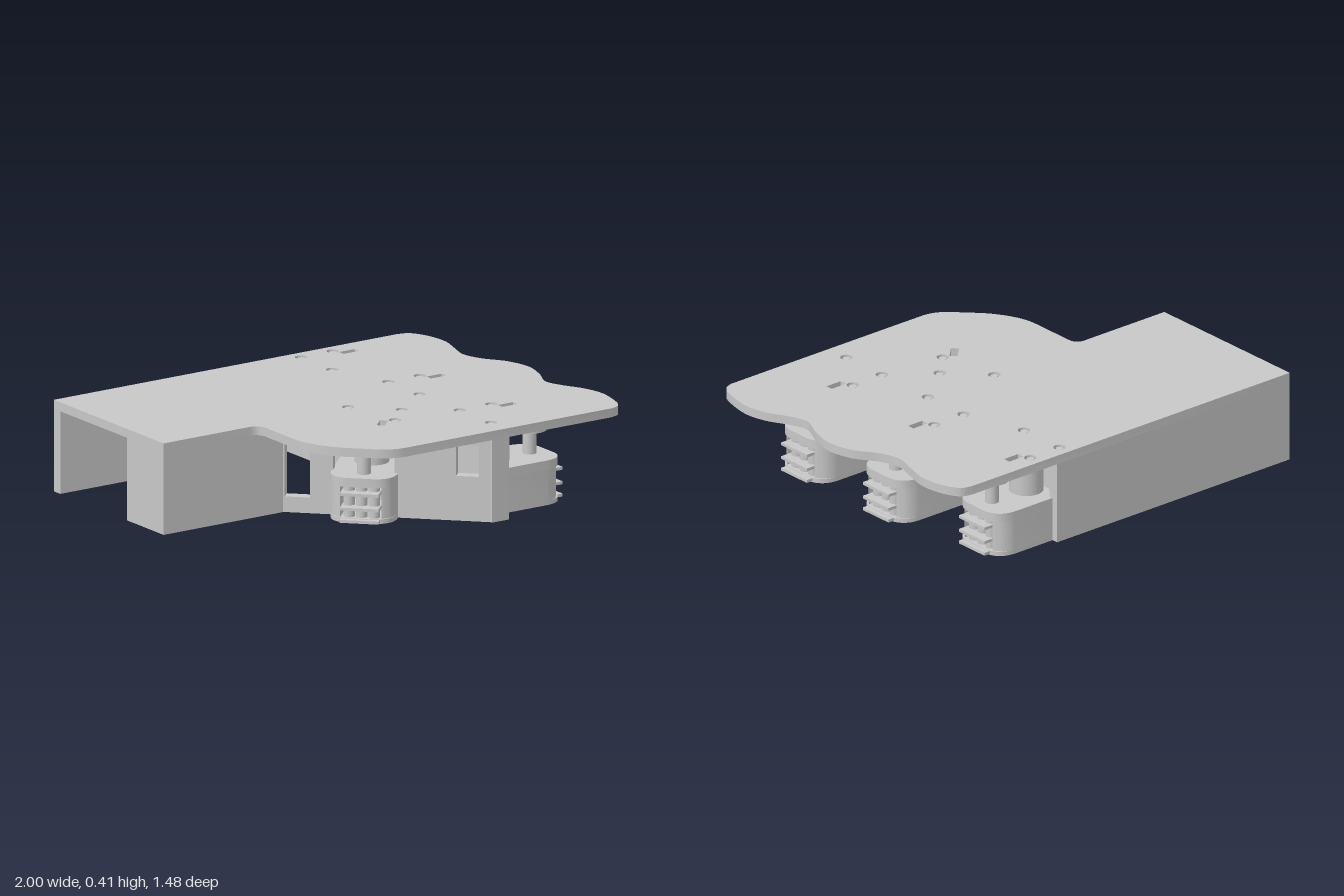
import * as THREE from 'three';
import { toCreasedNormals } from 'three/addons/utils/BufferGeometryUtils.js';

const grey = new THREE.MeshStandardMaterial({ color: 0xc8c8c8 });
grey.name = 'plain grey';

// each drive unit: position of its first screw and its heading about y
const UNITS = [
  { x: 0.255, z: -0.68, turn: 0 },
  { x: 0.345, z: -0.15, turn: 0 },
  { x: 0.345, z: 0.39, turn: 0 },
  { x: 0.145, z: 0.24, turn: -Math.PI * 0.75 },
];
const SCREWS = [[0, 0], [0.165, 0], [0, 0.235]];

const vectors = list => list.map(p => new THREE.Vector2(...p));

function add(parent, name, geometry, x = 0, y = 0, z = 0) {
  const mesh = new THREE.Mesh(geometry, grey);
  mesh.name = name;
  mesh.position.set(x, y, z);
  parent.add(mesh);
  return mesh;
}

// horizontal plate from a shape drawn in x and z
function slab(parent, name, shape, y0, y1) {
  const g = new THREE.ExtrudeGeometry(shape, { depth: y1 - y0, bevelEnabled: false, curveSegments: 10 });
  g.rotateX(Math.PI / 2);
  add(parent, name, toCreasedNormals(g, 0.5), 0, y1, 0);
}

function box(parent, name, x0, x1, y0, y1, z0, z1) {
  add(parent, name, new THREE.BoxGeometry(x1 - x0, y1 - y0, z1 - z0),
    (x0 + x1) / 2, (y0 + y1) / 2, (z0 + z1) / 2);
}

function cylinder(parent, name, r, y0, y1, x, z) {
  add(parent, name, new THREE.CylinderGeometry(r, r, y1 - y0, 28), x, (y0 + y1) / 2, z);
}

// upright wall between two floor points, with an optional window [start, end, bottom, top]
function wall(parent, name, [ax, az], [bx, bz], t, window) {
  const length = Math.hypot(bx - ax, bz - az);
  const shape = new THREE.Shape(vectors([[0, 0], [length, 0], [length, 0.375], [0, 0.375]]));
  if (window) {
    const [s, e, b, h] = window;
    shape.holes.push(new THREE.Path(vectors([[s, b], [s, h], [e, h], [e, b]])));
  }
  const g = new THREE.ExtrudeGeometry(shape, { depth: t, bevelEnabled: false });
  g.translate(0, 0, -t / 2);
  add(parent, name, g, ax, 0, az).rotation.y = -Math.atan2(bz - az, bx - ax);
}

// unit floor outline with a rounded outer end
function unitOutline() {
  const s = new THREE.Shape();
  s.moveTo(-0.03, -0.03);
  s.lineTo(0.28, -0.03);
  s.quadraticCurveTo(0.365, -0.025, 0.375, 0.055);
  s.lineTo(0.375, 0.175);
  s.quadraticCurveTo(0.365, 0.255, 0.28, 0.26);
  s.lineTo(-0.03, 0.26);
  s.closePath();
  return s;
}

// notch layer: two cheeks joined by a rear block
function notchOutline() {
  const s = new THREE.Shape();
  s.moveTo(-0.03, -0.03);
  s.lineTo(0.28, -0.03);
  s.quadraticCurveTo(0.335, -0.025, 0.36, 0.025);
  s.lineTo(0.24, 0.025);
  s.lineTo(0.24, 0.205);
  s.lineTo(0.36, 0.205);
  s.quadraticCurveTo(0.335, 0.255, 0.28, 0.26);
  s.lineTo(-0.03, 0.26);
  s.closePath();
  return s;
}

function driveUnit({ x, z, turn }) {
  const unit = new THREE.Group();
  unit.name = 'driveUnit';
  unit.position.set(x, 0, z);
  unit.rotation.y = turn;
  // housing
  slab(unit, 'housingFloor', unitOutline(), 0, 0.02);
  slab(unit, 'housingCheeks', notchOutline(), 0.02, 0.16);
  slab(unit, 'housingLid', unitOutline(), 0.16, 0.2);
  slab(unit, 'topPad', unitOutline(), 0.36, 0.372);
  box(unit, 'mountingBlock', -0.075, 0.015, 0, 0.375, -0.03, 0.26);
  // contact fins and pins inside the notch
  for (const y of [0.005, 0.06, 0.125]) box(unit, 'fin', 0.24, 0.4, y, y + 0.013, 0.03, 0.2);
  for (const pz of [0.06, 0.115, 0.17]) cylinder(unit, 'pin', 0.025, 0.02, 0.16, 0.335, pz);
  // motor behind the shaft
  cylinder(unit, 'motor', 0.075, 0.2, 0.315, 0.09, 0.115);
  cylinder(unit, 'motorCap', 0.085, 0.315, 0.36, 0.09, 0.115);
  // shaft with collar disc
  cylinder(unit, 'shaft', 0.03, 0.2, 0.345, 0.285, 0.115);
  cylinder(unit, 'collar', 0.075, 0.305, 0.34, 0.285, 0.115);
  cylinder(unit, 'hub', 0.043, 0.34, 0.36, 0.285, 0.115);
  // screws sunk in the deck
  for (const [sx, sz] of SCREWS) cylinder(unit, 'screw', 0.016, 0.365, 0.405, sx, sz);
  return unit;
}

function deckShape() {
  const s = new THREE.Shape();
  s.moveTo(-1, -0.74);
  s.lineTo(0.8, -0.74);
  // scalloped end
  s.splineThru(vectors([[0.855, -0.72], [0.895, -0.64], [0.907, -0.53], [0.88, -0.42], [0.855, -0.32],
    [0.885, -0.22], [0.95, -0.12], [0.977, 0], [0.95, 0.12], [0.905, 0.23], [0.93, 0.32], [0.98, 0.42], [1, 0.53],
    [0.975, 0.66], [0.945, 0.72], [0.9, 0.74]]));
  s.lineTo(-0.19, 0.74);
  s.quadraticCurveTo(-0.26, 0.735, -0.31, 0.68);
  s.lineTo(-0.4, 0.59);
  s.quadraticCurveTo(-0.5, 0.47, -0.5, 0.36);
  s.lineTo(-0.5, 0.14);
  s.quadraticCurveTo(-0.5, 0.09, -0.55, 0.09);
  s.lineTo(-1, 0.09);
  s.closePath();
  // screw holes and slots above every unit
  for (const { x, z, turn } of UNITS) {
    const c = Math.cos(turn), n = Math.sin(turn);
    const at = (px, pz) => [x + px * c + pz * n, z - px * n + pz * c];
    for (const [px, pz] of SCREWS) {
      const hole = new THREE.Path();
      hole.absarc(...at(px, pz), 0.027, 0, Math.PI * 2);
      s.holes.push(hole);
    }
    s.holes.push(new THREE.Path(vectors([at(0.18, 0.028), at(0.26, 0.028), at(0.26, 0.063), at(0.18, 0.063)])));
  }
  return s;
}

export function createModel() {
  const model = new THREE.Group();
  model.name = 'deckAssembly';
  slab(model, 'deck', deckShape(), 0.37, 0.41);

  // channel walls
  wall(model, 'backWall', [-1, -0.715], [0.32, -0.715], 0.05);
  wall(model, 'frontWall', [-1, 0.065], [-0.375, 0.065], 0.05);
  box(model, 'endFlange', -1, -0.93, 0, 0.375, -0.185, 0.09);
  cylinder(model, 'ceilingBoss', 0.03, 0.33, 0.37, -0.88, 0);

  // walls joining the units, with windows
  wall(model, 'rearLinkWall', [0.25, -0.45], [0.29, -0.12], 0.05, [0.105, 0.205, 0.07, 0.34]);
  wall(model, 'frontLinkWall', [0.29, 0.1], [0.29, 0.37], 0.05, [0.09, 0.195, 0.07, 0.34]);

  // slanted front on both sides of the turned unit, ending in a corner column
  wall(model, 'slantedWall', [-0.385, 0.04], [-0.2, 0.225], 0.05, [0.05, 0.16, 0.07, 0.34]);
  wall(model, 'slantedWall', [-0.01, 0.415], [0.29, 0.715], 0.05, [0.27, 0.37, 0.2, 0.34]);
  box(model, 'cornerColumn', 0.27, 0.36, 0, 0.375, 0.64, 0.74);

  for (const unit of UNITS) model.add(driveUnit(unit));
  return model;
}
